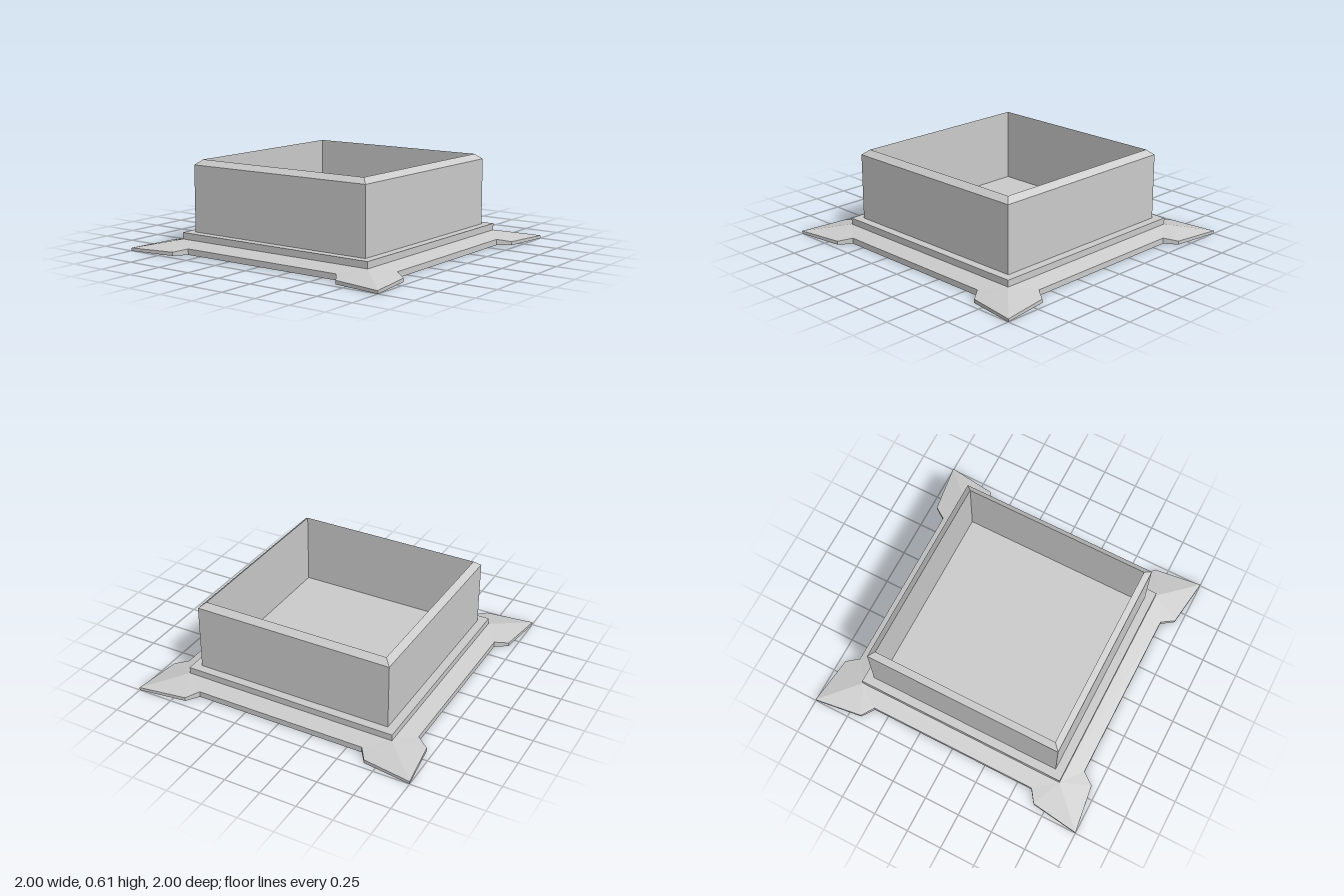
import * as THREE from 'three';

const material = new THREE.MeshStandardMaterial({ color: 0xcccccc, flatShading: true, side: THREE.DoubleSide });

function makeMesh(name, geometry) {
  const flat = geometry.index ? geometry.toNonIndexed() : geometry;
  flat.computeVertexNormals();
  const mesh = new THREE.Mesh(flat, material);
  mesh.name = name;
  return mesh;
}

// Sweeps a [half width, height] profile around a square
function squareLoft(name, profile) {
  const points = profile.map(([half, y]) => new THREE.Vector2(half * Math.SQRT2, y));
  return makeMesh(name, new THREE.LatheGeometry(points, 4, Math.PI / 4));
}

// Sloping base: one side is described, then turned to all four
function baseGeometry() {
  const inner = [[-0.757, 0.07, 0.757], [0.757, 0.07, 0.757]];
  const half = [[1, 0.02, 1], [0.665, 0.025, 0.955], [0.605, 0.04, 0.87]];
  const rim = [...half.map(([x, y, z]) => [-x, y, z]), ...half.slice().reverse()];
  const positions = [];

  for (let side = 0; side < 4; side++) {
    const turn = (side * Math.PI) / 2;
    const c = Math.round(Math.cos(turn));
    const s = Math.round(Math.sin(turn));
    const tri = (...corners) => {
      for (const [x, y, z] of corners) positions.push(c * x + s * z, y, c * z - s * x);
    };
    const [left, right] = inner;

    // Sloped top with flared corners
    for (let i = 0; i < 3; i++) tri(left, rim[i], rim[i + 1]);
    tri(left, rim[3], right);
    for (let i = 3; i < 5; i++) tri(right, rim[i], rim[i + 1]);

    // Thin outer edge and underside
    for (let i = 0; i < 5; i++) {
      const a = rim[i];
      const b = rim[i + 1];
      const a0 = [a[0], 0, a[2]];
      const b0 = [b[0], 0, b[2]];
      tri(a, a0, b0);
      tri(a, b0, b);
      tri([0, 0, 0], b0, a0);
    }
  }
  const geometry = new THREE.BufferGeometry();
  geometry.setAttribute('position', new THREE.Float32BufferAttribute(positions, 3));
  return geometry;
}

export function createModel() {
  const model = new THREE.Group();
  model.name = 'squarePlanter';

  model.add(makeMesh('flaredBase', baseGeometry()));

  // Low step between base and walls
  model.add(squareLoft('ledge', [[0.757, 0.07], [0.757, 0.115], [0.697, 0.115]]));

  // Walls with a bevelled rim and a straight inside
  model.add(squareLoft('walls', [[0.697, 0.115], [0.697, 0.57], [0.655, 0.605], [0.655, 0.1]]));

  // Inside floor
  const floor = new THREE.PlaneGeometry(1.31, 1.31).rotateX(-Math.PI / 2).translate(0, 0.1, 0);
  model.add(makeMesh('floor', floor));

  return model;
}
